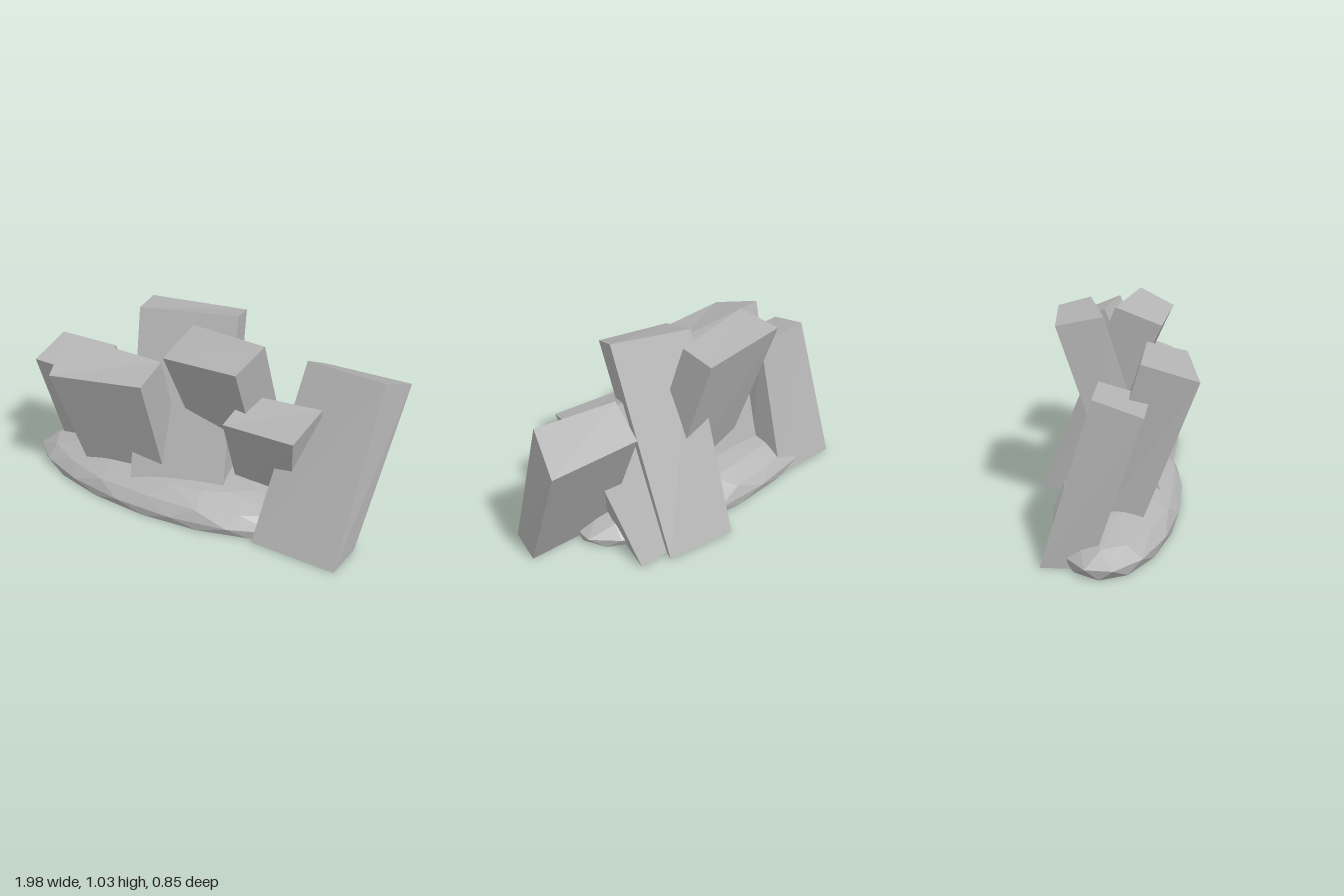
import * as THREE from 'three';

const stone = new THREE.MeshStandardMaterial({ color: 0xb3b3b3 });
stone.name = 'grey stone';
stone.flatShading = true;

// Collects triangles as loose faces, so every facet stays flat.
function facetMesh(name, triangles) {
  const geometry = new THREE.BufferGeometry();
  geometry.setAttribute('position', new THREE.Float32BufferAttribute(triangles.flat(2), 3));
  geometry.computeVertexNormals();
  const mesh = new THREE.Mesh(geometry, stone);
  mesh.name = name;
  return mesh;
}

const quad = (a, b, c, d) => [[a, b, c], [a, c, d]];

// Leaning slab: corners run front left, front right, back right, back left as seen facing the front.
// Base corners are [x, z] on the ground, top corners are [x, y, z].
function slab(name, base, top) {
  const b = base.map(([x, z]) => [x, 0, z]);
  const faces = [...quad(...top), ...quad(b[3], b[2], b[1], b[0])];
  for (let i = 0; i < 4; i++) {
    const j = (i + 1) % 4;
    faces.push(...quad(b[i], b[j], top[j], top[i]));
  }
  return facetMesh(name, faces);
}

// Low faceted mound with a flat underside
function mound() {
  const sides = 16;
  const profile = [[0.97, 0], [1, 0.05], [0.88, 0.11], [0.6, 0.16], [0.3, 0.182]];
  const rings = profile.map(([r, y], k) => Array.from({ length: sides }, (_, i) => {
    const a = ((i + (k % 2) * 0.5) / sides) * Math.PI * 2;
    const wobble = 1 + 0.025 * Math.sin(i * 2.7 + k * 1.9) * (k > 1 ? 1 : 0);
    return [-0.16 + 0.84 * r * wobble * Math.cos(a), y, 0.02 - 0.32 * r * wobble * Math.sin(a)];
  }));
  const peak = [-0.08, 0.19, 0.02];
  const under = [-0.16, 0, 0.02];
  const faces = [];
  for (let i = 0; i < sides; i++) {
    const j = (i + 1) % sides;
    for (let k = 0; k < rings.length - 1; k++) {
      const lo = rings[k], hi = rings[k + 1];
      // half-step offset alternates, so the diagonal does too
      if (k % 2 === 0) faces.push([lo[i], lo[j], hi[i]], [lo[j], hi[j], hi[i]]);
      else faces.push([lo[i], lo[j], hi[j]], [lo[i], hi[j], hi[i]]);
    }
    const last = rings[rings.length - 1];
    faces.push([last[i], last[j], peak], [rings[0][j], rings[0][i], under]);
  }
  return facetMesh('mound', faces);
}

export function createModel() {
  const group = new THREE.Group();
  group.name = 'leaningSlabs';
  group.add(
    mound(),
    // Large slab at the left end, leaning back
    slab('endSlab',
      [[0.44, 0.26], [0.89, 0.275], [0.925, 0.07], [0.47, 0.06]],
      [[0.525, 0.885, -0.145], [0.93, 0.893, -0.1], [1, 0.785, -0.335], [0.55, 0.78, -0.335]]),
    // Short slab leaning forward beside it
    slab('shortSlab',
      [[0.2, -0.1], [0.5, -0.12], [0.545, -0.33], [0.24, -0.32]],
      [[0.25, 0.645, 0.225], [0.62, 0.655, 0.24], [0.67, 0.725, 0], [0.29, 0.72, 0.03]]),
    // Tall middle slab leaning forward
    slab('middleSlab',
      [[-0.02, -0.21], [0.335, -0.17], [0.4, -0.377], [0.03, -0.425]],
      [[-0.075, 0.925, 0.22], [0.325, 0.955, 0.255], [0.388, 1.035, 0.073], [-0.035, 1.005, -0.017]]),
    // Tall slab leaning back
    slab('backSlab',
      [[-0.275, 0.28], [0.21, 0.15], [0.18, -0.04], [-0.33, 0.06]],
      [[-0.35, 1.02, -0.035], [0.14, 1.025, -0.165], [0.11, 0.982, -0.33], [-0.4, 0.982, -0.255]]),
    // Wide slab leaning forward
    slab('wideSlab',
      [[-0.605, 0.13], [-0.13, 0.09], [-0.13, -0.12], [-0.625, -0.1]],
      [[-0.608, 0.79, 0.425], [-0.128, 0.815, 0.35], [-0.125, 0.855, 0.15], [-0.667, 0.88, 0.165]]),
    // Outer slab at the right end, leaning forward
    slab('outerSlab',
      [[-0.88, -0.03], [-0.49, -0.03], [-0.505, -0.255], [-0.89, -0.255]],
      [[-0.865, 0.7, 0.2], [-0.51, 0.69, 0.2], [-0.51, 0.755, -0.04], [-0.835, 0.765, -0.025]]),
  );
  return group;
}
